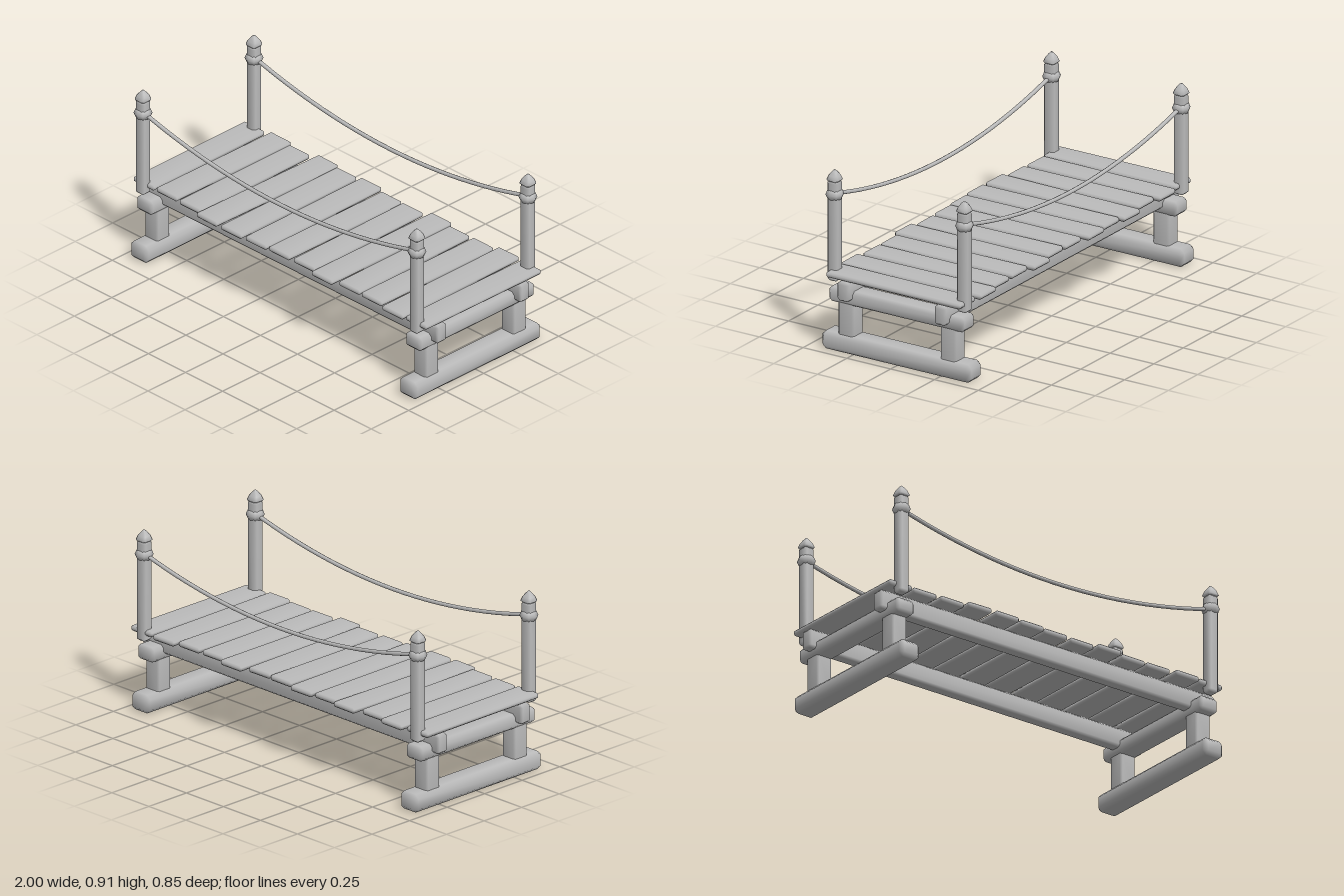
import * as THREE from 'three';
import { mergeVertices } from 'three/addons/utils/BufferGeometryUtils.js';
import { ConvexGeometry } from 'three/addons/geometries/ConvexGeometry.js';

const wood = new THREE.MeshStandardMaterial({ color: 0xbbbbbb });
wood.name = 'greyWood';

// Smooth-shaded hull of a set of points
function softHull(points) {
  const hull = new ConvexGeometry(points);
  hull.deleteAttribute('normal');
  const geometry = mergeVertices(hull, 1e-5);
  geometry.computeVertexNormals();
  return geometry;
}

// Box with a single chamfer c on every edge
function chamferBox(w, h, d, c) {
  const points = [];
  const [x, y, z] = [w / 2, h / 2, d / 2];
  for (const sx of [-1, 1]) for (const sy of [-1, 1]) for (const sz of [-1, 1]) {
    points.push(
      new THREE.Vector3(sx * x, sy * (y - c), sz * (z - c)),
      new THREE.Vector3(sx * (x - c), sy * y, sz * (z - c)),
      new THREE.Vector3(sx * (x - c), sy * (y - c), sz * z));
  }
  return softHull(points);
}

// Stack of square sections with cut corners: [y, halfWidth, cut]
function squareStack(sections) {
  const points = [];
  for (const [y, r, c] of sections)
    for (const sx of [-1, 1]) for (const sz of [-1, 1])
      points.push(new THREE.Vector3(sx * r, y, sz * (r - c)), new THREE.Vector3(sx * (r - c), y, sz * r));
  return softHull(points);
}

export function createModel() {
  const group = new THREE.Group();
  group.name = 'ropeBridge';
  const add = (name, geometry, x = 0, y = 0, z = 0, parent = group) => {
    const mesh = new THREE.Mesh(geometry, wood);
    mesh.name = name;
    mesh.position.set(x, y, z);
    parent.add(mesh);
    return mesh;
  };

  const foot = chamferBox(0.117, 0.092, 0.85, 0.02);
  const leg = chamferBox(0.088, 0.18, 0.09, 0.01);
  const crossBeam = chamferBox(0.107, 0.075, 0.772, 0.015);
  const stringer = chamferBox(2, 0.097, 0.067, 0.012);
  const post = chamferBox(0.06, 0.508, 0.06, 0.012);
  const collar = new THREE.LatheGeometry(
    [[0.02, 0.76], [0.035, 0.765], [0.045, 0.788], [0.036, 0.81], [0.02, 0.812]].map(p => new THREE.Vector2(...p)), 8);
  const finial = squareStack([
    [0.855, 0.026, 0.008], [0.862, 0.032, 0.009], [0.882, 0.025, 0.008], [0.9, 0.013, 0.005], [0.911, 0.003, 0.001]]);

  // Trestles at both ends
  for (const sx of [-1, 1]) {
    const trestle = new THREE.Group();
    trestle.name = sx > 0 ? 'leftTrestle' : 'rightTrestle';
    trestle.position.x = sx * 0.907;
    group.add(trestle);
    add('foot', foot, 0, 0.046, 0, trestle);
    add('crossBeam', crossBeam, 0, 0.287, 0, trestle);
    for (const sz of [-1, 1]) add('leg', leg, 0, 0.172, sz * 0.292, trestle);
  }

  // Stringers, posts and sagging ropes along both sides
  for (const sz of [-1, 1]) {
    add('stringer', stringer, 0, 0.329, sz * 0.277);
    for (const sx of [-1, 1]) {
      const railPost = new THREE.Group();
      railPost.name = 'railPost';
      railPost.position.set(sx * 0.924, 0, sz * 0.37);
      group.add(railPost);
      add('post', post, 0, 0.604, 0, railPost);
      add('collar', collar, 0, 0, 0, railPost);
      add('finial', finial, 0, 0, 0, railPost);
    }
    const path = [];
    for (let i = 0; i <= 12; i++) {
      const t = i / 6 - 1;
      path.push(new THREE.Vector3(t * 0.924, 0.664 + 0.126 * t * t, sz * 0.37));
    }
    add('rope', new THREE.TubeGeometry(new THREE.CatmullRomCurve3(path), 24, 0.01, 8));
  }

  // Deck planks: [back z, front z, slight turn]
  const planks = [
    [-0.38, 0.37, 0.005], [-0.398, 0.365, -0.008], [-0.375, 0.37, 0.006], [-0.405, 0.398, -0.02],
    [-0.385, 0.398, 0.006], [-0.4, 0.388, 0.012], [-0.375, 0.378, -0.006], [-0.372, 0.372, 0.015],
    [-0.403, 0.398, -0.006], [-0.375, 0.372, 0.008], [-0.378, 0.372, -0.006], [-0.402, 0.39, 0.01],
    [-0.39, 0.378, -0.006]];
  planks.forEach(([back, front, turn], i) => {
    const plank = add('plank', chamferBox(0.138, 0.028, front - back, 0.008),
      (i - 6) * 0.1542, 0.396, (front + back) / 2);
    plank.rotation.y = turn;
  });

  return group;
}
